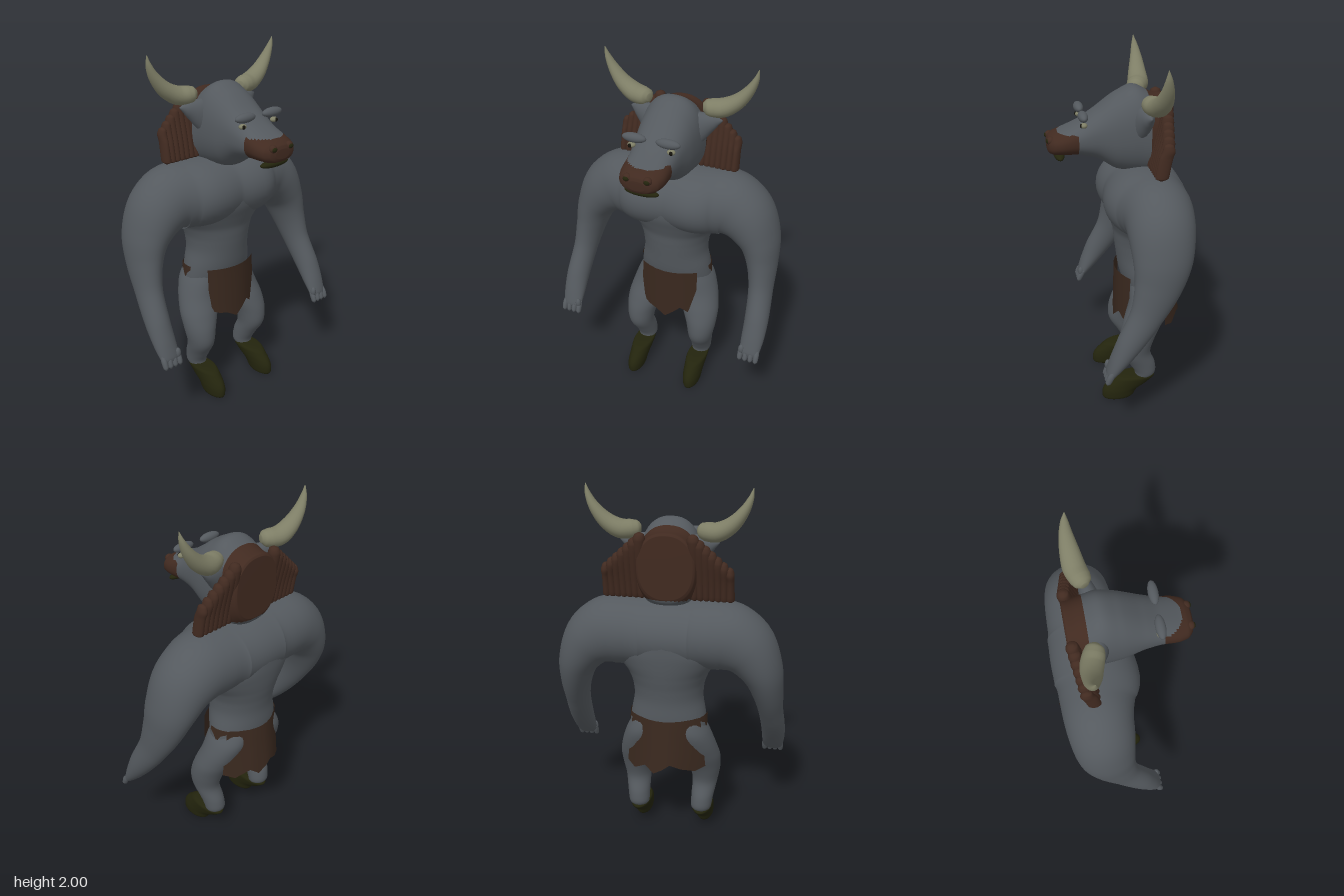
import * as THREE from 'three';

const mat = (name, color, side = THREE.FrontSide) => {
  const m = new THREE.MeshStandardMaterial({ color, side });
  m.name = name;
  return m;
};

// Smooth closed loft. Rows are [x, y, z, a, b]: centre and two radii.
// axis 'y' or 'z' keeps rings square to that axis; otherwise rings follow the path.
// power below 1 makes the rings squarer; pick chooses a material per face.
function loft(rows, { axis = null, ref = [1, 0, 0], steps = 5, sides = 32, power = 1, pick = null } = {}) {
  const centres = new THREE.CatmullRomCurve3(rows.map(r => new THREE.Vector3(r[0], r[1], r[2])));
  const radii = new THREE.CatmullRomCurve3(rows.map(r => new THREE.Vector3(r[3], r[4], 0)));
  const n = (rows.length - 1) * steps, pos = [], buckets = [[], []];
  const u = new THREE.Vector3(), v = new THREE.Vector3(), p = new THREE.Vector3();
  const soft = c => Math.sign(c) * Math.abs(c) ** power;
  for (let i = 0; i <= n; i++) {
    const c = centres.getPoint(i / n), r = radii.getPoint(i / n), t = centres.getTangent(i / n);
    if (axis === 'y') t.set(0, Math.sign(t.y), 0);
    if (axis === 'z') t.set(0, 0, Math.sign(t.z));
    u.set(...ref);
    u.addScaledVector(t, -u.dot(t)).normalize();
    v.crossVectors(t, u);
    for (let j = 0; j < sides; j++) {
      const a = (j / sides) * Math.PI * 2;
      p.copy(c).addScaledVector(u, Math.max(r.x, 0.001) * soft(Math.cos(a)))
        .addScaledVector(v, Math.max(r.y, 0.001) * soft(Math.sin(a)));
      pos.push(p.x, p.y, p.z);
    }
  }
  const first = rows[0], last = rows[rows.length - 1], pole = pos.length / 3;
  pos.push(first[0], first[1], first[2], last[0], last[1], last[2]);
  const face = (a, b, c) => {
    const mid = k => (pos[a * 3 + k] + pos[b * 3 + k] + pos[c * 3 + k]) / 3;
    buckets[pick ? pick(mid(0), mid(1), mid(2)) : 0].push(a, b, c);
  };
  for (let j = 0; j < sides; j++) {
    const k = (j + 1) % sides;
    face(pole, k, j);
    face(pole + 1, n * sides + j, n * sides + k);
    for (let i = 0; i < n; i++) {
      const a = i * sides + j, b = i * sides + k;
      face(a, b, b + sides);
      face(a, b + sides, a + sides);
    }
  }
  const g = new THREE.BufferGeometry();
  g.setAttribute('position', new THREE.Float32BufferAttribute(pos, 3));
  g.setIndex([...buckets[0], ...buckets[1]]);
  if (pick) {
    g.addGroup(0, buckets[0].length, 0);
    g.addGroup(buckets[0].length, buckets[1].length, 1);
  }
  g.computeVertexNormals();
  return g;
}

// Hanging cloth: columns of [x, bottom y], bowed around the hips, flare narrows the top.
function cloth(cols, top, zTop, zBottom, bow, flare = 0) {
  const pos = [], idx = [], rows = 4;
  cols.forEach(([x, bottom], i) => {
    for (let j = 0; j <= rows; j++) {
      const t = j / rows, w = x * (1 - flare * (1 - t));
      pos.push(w, top + (bottom - top) * t, zTop + (zBottom - zTop) * t + bow * w * w);
      if (i && j) {
        const a = i * (rows + 1) + j, b = a - rows - 1;
        idx.push(b - 1, b, a, b - 1, a, a - 1);
      }
    }
  });
  const g = new THREE.BufferGeometry();
  g.setAttribute('position', new THREE.Float32BufferAttribute(pos, 3));
  g.setIndex(idx);
  g.computeVertexNormals();
  return g;
}

export function createModel() {
  const model = new THREE.Group();
  const hide = mat('grey hide', 0x54595e);
  const fur = mat('brown fur', 0x412a20);
  const leather = mat('brown leather', 0x39281e, THREE.DoubleSide);
  const horn = mat('horn', 0x7e7e66);
  const hoofMat = mat('dark hoof', 0x23240d);
  const dark = mat('dark pupil', 0x14120c);

  const add = (name, geometry, material) => {
    const m = new THREE.Mesh(geometry, material);
    m.name = name;
    model.add(m);
  };
  const ball = (name, material, [x, y, z], [rx, ry, rz]) =>
    add(name, new THREE.SphereGeometry(1, 24, 16).scale(rx, ry, rz).translate(x, y, z), material);

  // Hips, waist and ribs, flaring out into the armpits
  add('torso', loft([
    [0, 0.545, -0.17, 0.05, 0.05], [0, 0.59, -0.185, 0.15, 0.1], [0, 0.67, -0.187, 0.215, 0.137],
    [0, 0.77, -0.178, 0.207, 0.155], [0, 0.87, -0.17, 0.19, 0.162], [0, 0.95, -0.17, 0.197, 0.172],
    [0, 1.02, -0.173, 0.222, 0.183], [0, 1.08, -0.168, 0.268, 0.198], [0, 1.16, -0.158, 0.315, 0.215],
    [0, 1.25, -0.156, 0.28, 0.215], [0, 1.34, -0.17, 0.2, 0.16],
  ], { axis: 'y', sides: 40 }), hide);

  // Chest, shoulders and both arms as one sweep from hand to hand
  const arm = [
    [0.14, 1.228, -0.146, 0.227, 0.19], [0.24, 1.23, -0.163, 0.2, 0.187], [0.33, 1.222, -0.172, 0.185, 0.184],
    [0.42, 1.17, -0.17, 0.175, 0.16], [0.5, 1.05, -0.16, 0.155, 0.115], [0.535, 0.92, -0.13, 0.125, 0.086],
    [0.555, 0.77, -0.07, 0.09, 0.068], [0.569, 0.62, 0.02, 0.07, 0.067], [0.57, 0.52, 0.08, 0.048, 0.064],
    [0.567, 0.45, 0.122, 0.026, 0.055], [0.566, 0.435, 0.13, 0.016, 0.045],
  ];
  add('chestAndArms', loft([
    ...arm.map(([x, ...rest]) => [-x, ...rest]).reverse(), [0, 1.228, -0.155, 0.22, 0.19], ...arm,
  ], { ref: [0, 0, 1], sides: 40 }), hide);

  // Head and neck, brown on the muzzle and the nape
  add('head', loft([
    [0, 1.6, -0.272, 0.14, 0.165], [0, 1.595, -0.262, 0.152, 0.182], [0, 1.575, -0.2, 0.163, 0.21],
    [0, 1.6, -0.1, 0.163, 0.232], [0, 1.59, 0, 0.154, 0.202], [0, 1.585, 0.1, 0.136, 0.133],
    [0, 1.567, 0.19, 0.124, 0.09], [0, 1.55, 0.28, 0.122, 0.066], [0, 1.542, 0.33, 0.107, 0.056],
    [0, 1.538, 0.355, 0.078, 0.042], [0, 1.537, 0.363, 0.045, 0.025],
  ], {
    axis: 'z', sides: 48, steps: 6, power: 0.86,
    pick: (x, y, z) => (z > 0.21 && y < 1.605) || (z < -0.17 && y > 1.43) ? 1 : 0,
  }), [hide, fur]);
  ball('lowerLip', hoofMat, [0, 1.473, 0.3], [0.095, 0.02, 0.028]);

  for (const s of [1, -1]) {
    const side = s > 0 ? 'left' : 'right';
    const path = rows => rows.map(([x, ...rest]) => [s * x, ...rest]);

    for (let i = 0; i < 4; i++) {
      const x = 0.52 + i * 0.031;
      add(side + 'Finger', loft(path([
        [x, 0.475, 0.112, 0.012, 0.012], [x, 0.445, 0.13, 0.016, 0.018],
        [x, 0.415, 0.143, 0.014, 0.015], [x, 0.402, 0.147, 0.004, 0.004],
      ]), { sides: 12 }), hide);
    }
    ball(side + 'Thumb', hide, [s * 0.523, 0.47, 0.13], [0.017, 0.03, 0.017]);

    add(side + 'Leg', loft(path([
      [0.09, 0.8, -0.18, 0.03, 0.05], [0.1, 0.74, -0.19, 0.095, 0.118], [0.125, 0.67, -0.19, 0.107, 0.125],
      [0.148, 0.59, -0.172, 0.113, 0.117],
      [0.172, 0.5, -0.135, 0.112, 0.112], [0.195, 0.4, -0.097, 0.09, 0.1], [0.197, 0.31, -0.087, 0.073, 0.087],
      [0.188, 0.22, -0.13, 0.064, 0.075], [0.183, 0.15, -0.148, 0.057, 0.058], [0.183, 0.11, -0.11, 0.03, 0.04],
    ]), { axis: 'y' }), hide);
    add(side + 'Hoof', loft(path([
      [0.187, 0, 0.015, 0.042, 0.085], [0.187, 0.012, 0.012, 0.047, 0.094], [0.186, 0.05, 0, 0.052, 0.105],
      [0.184, 0.09, -0.042, 0.056, 0.125], [0.183, 0.125, -0.08, 0.06, 0.125], [0.183, 0.142, -0.092, 0.057, 0.105],
      [0.183, 0.146, -0.095, 0.035, 0.06],
    ]), { axis: 'y' }), hoofMat);

    add(side + 'Horn', loft(path([
      [0.15, 1.775, -0.14, 0.02, 0.02], [0.168, 1.775, -0.147, 0.045, 0.04], [0.2, 1.772, -0.158, 0.055, 0.049],
      [0.25, 1.775, -0.175, 0.058, 0.05],
      [0.32, 1.815, -0.185, 0.05, 0.042], [0.38, 1.885, -0.19, 0.034, 0.028], [0.412, 1.95, -0.187, 0.018, 0.015],
      [0.424, 2.0, -0.182, 0.002, 0.002],
    ]), { ref: [0, 0, 1], sides: 20 }), horn);
    add(side + 'Ear', loft(path([
      [0.09, 1.65, -0.11, 0.05, 0.1], [0.16, 1.685, -0.13, 0.045, 0.07],
      [0.215, 1.705, -0.14, 0.03, 0.038], [0.258, 1.715, -0.145, 0.004, 0.004],
    ]), { ref: [0, 0, 1], sides: 20 }), hide);

    // Braided mane beside the neck, shorter outwards
    for (let i = 0; i < 7; i++) {
      const x = 0.14 + i * 0.031, top = 1.775 - i * 0.028, r = 0.032 - i * 0.0015;
      const z = y => -0.185 - (y - 1.42) * 0.18;
      add(side + 'ManeBraid', loft(path([
        [x, 1.415, z(1.415), 0.008, 0.01], [x, 1.43, z(1.43), 0.022, 0.036], [x, 1.53, z(1.53), r * 0.85, 0.036],
        [x - 0.002, top - 0.04, z(top), r, 0.034], [x - 0.004, top - 0.01, z(top), r * 0.75, 0.025],
        [x - 0.004, top, z(top), 0.006, 0.008],
      ]), { axis: 'y', sides: 16, steps: 4 }), fur);
    }

    // Face
    ball(side + 'Brow', hide, [s * 0.092, 1.7, 0.18], [0.066, 0.025, 0.026]);
    ball(side + 'Eye', horn, [s * 0.108, 1.657, 0.178], [0.022, 0.014, 0.018]);
    ball(side + 'Pupil', dark, [s * 0.112, 1.657, 0.192], [0.01, 0.011, 0.007]);
    ball(side + 'NostrilRim', fur, [s * 0.055, 1.568, 0.345], [0.024, 0.022, 0.022]);
    ball(side + 'Nostril', hoofMat, [s * 0.056, 1.568, 0.36], [0.016, 0.013, 0.01]);

    // Cloth scrap wrapped on the hip
    add(side + 'HipCloth', cloth([
      [s * -0.027, 0.755], [0, 0.73], [s * 0.02, 0.69], [s * 0.045, 0.735], [s * 0.083, 0.755],
    ], 0.775, 0.212, 0.217, -4.2).rotateY(s * Math.PI / 2).translate(0, 0, -0.178), leather);
  }

  add('frontLoincloth', cloth([
    [-0.165, 0.65], [-0.147, 0.51], [-0.11, 0.495], [-0.06, 0.485], [0, 0.45],
    [0.05, 0.49], [0.09, 0.525], [0.135, 0.49], [0.155, 0.57], [0.175, 0.65],
  ], 0.775, 0.002, 0.008, -2), leather);
  add('backLoincloth', cloth([
    [-0.22, 0.48], [-0.17, 0.47], [-0.1, 0.5], [-0.04, 0.53], [0, 0.5],
    [0.05, 0.47], [0.1, 0.51], [0.17, 0.46], [0.22, 0.48],
  ], 0.775, -0.345, -0.38, 2.6, 0.15), leather);

  return model;
}
